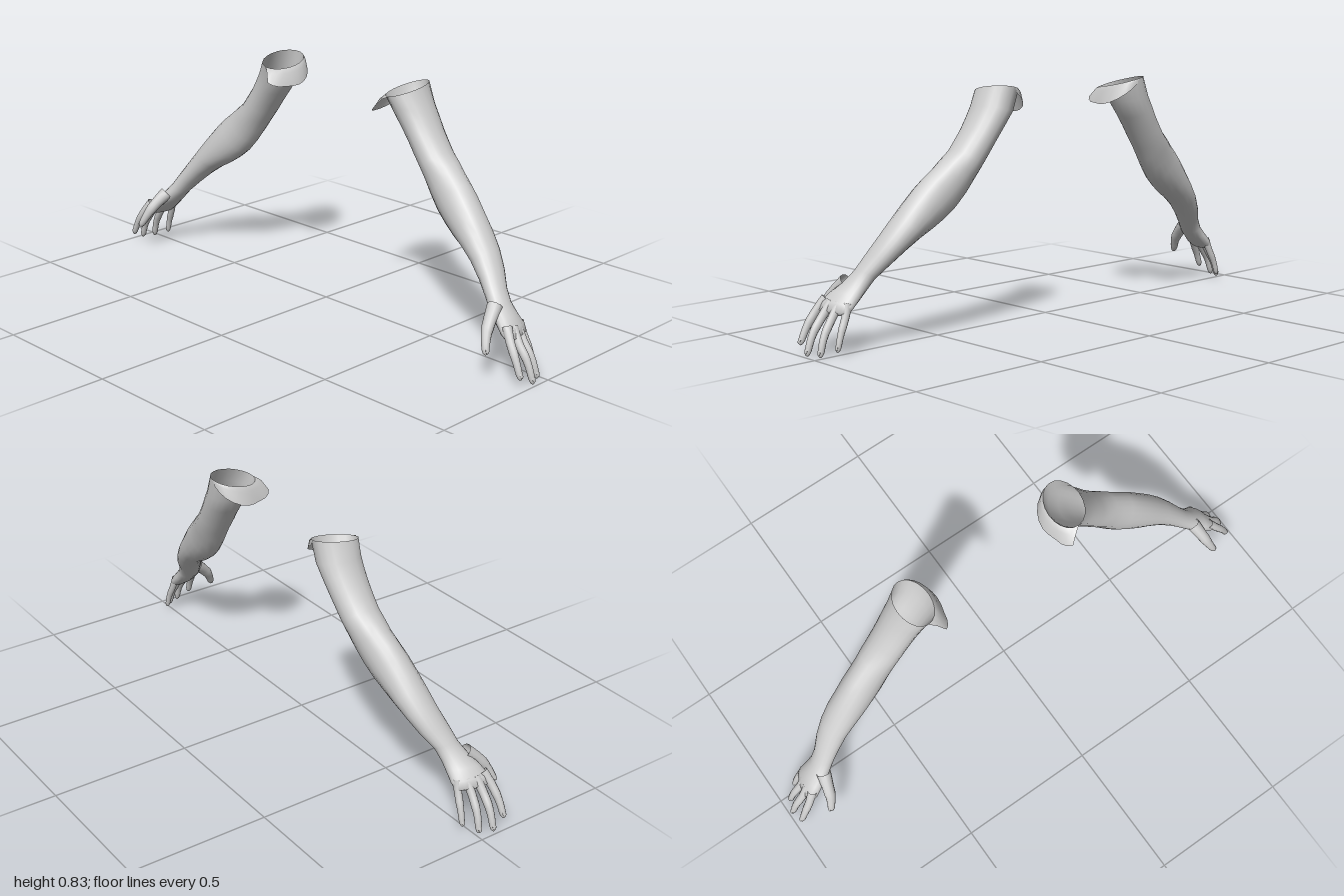
import * as THREE from 'three';

const V = (x, y, z) => new THREE.Vector3(x, y, z);
const SIDES = 20;
const skin = new THREE.MeshStandardMaterial({ color: 0xcccccc, side: THREE.DoubleSide });

// Skin a surface over rows of points; closed rows wrap around.
function loft(rows, closed = true) {
  const n = rows[0].length;
  const index = [];
  for (let i = 0; i < rows.length - 1; i++) {
    for (let j = 0; j < (closed ? n : n - 1); j++) {
      const k = (j + 1) % n;
      const a = i * n + j, b = i * n + k, c = a + n, d = b + n;
      index.push(a, b, c, b, d, c);
    }
  }
  const geo = new THREE.BufferGeometry().setFromPoints(rows.flat());
  geo.setIndex(index);
  geo.computeVertexNormals();
  return geo;
}

function mirrored(source) {
  const geo = source.clone().scale(-1, 1, 1);
  const ix = geo.index.array;
  for (let i = 0; i < ix.length; i += 3) [ix[i], ix[i + 1]] = [ix[i + 1], ix[i]];
  geo.computeVertexNormals();
  return geo;
}

// Cross-sections: outer x, y, inner x, y, front z, back z
const SECTIONS = [
  [.366, .83, .243, .805, .003, -.168],
  [.395, .77, .266, .745, -.008, -.166],
  [.415, .735, .312, .685, -.012, -.162],
  [.436, .70, .347, .638, -.013, -.157],
  [.463, .665, .37, .602, -.013, -.152],
  [.49, .63, .398, .564, -.012, -.148],
  [.525, .603, .425, .522, -.01, -.14],
  [.553, .578, .453, .48, -.007, -.132],
  [.59, .548, .49, .436, .001, -.124],
  [.623, .515, .532, .402, .01, -.118],
  [.665, .467, .575, .374, .018, -.108],
  [.703, .42, .62, .35, .025, -.10],
  [.745, .367, .67, .315, .032, -.084],
  [.783, .313, .722, .27, .045, -.06],
  [.817, .262, .762, .228, .057, -.03],
  [.847, .225, .792, .195, .075, -.021],
  [.88, .197, .822, .17, .092, -.021],
  [.908, .168, .855, .143, .105, -.024],
  [.918, .142, .88, .126, .1, -.021],
  [.906, .128, .894, .123, .06, .02],
];

function armRows() {
  return SECTIONS.map(([xo, yo, xi, yi, zf, zb], i) => {
    const skew = i > 15 ? .22 : i === 15 ? .1 : 0;   // knuckles angle outward on the index side
    const slope = i === 0 ? -.17 : 0;                // shoulder rim rises at the back
    return Array.from({ length: SIDES }, (_, j) => {
      const t = j / SIDES * Math.PI * 2;
      const c = Math.cos(t) / 2, dz = Math.sin(t) * (zf - zb) / 2;
      return V((xo + xi) / 2 + c * (xo - xi) + skew * dz,
        (yo + yi) / 2 + c * (yo - yi) + slope * dz, (zf + zb) / 2 + dz);
    });
  });
}

// Rounded, tapering finger along a bent path
function finger(points, r0, r1) {
  const curve = new THREE.CatmullRomCurve3(points);
  const steps = [0, .15, .3, .42, .5, .58, .7, .8, .9, .96, .99, 1];
  const rows = steps.map((s) => {
    const p = curve.getPointAt(s), t = curve.getTangentAt(s);
    const u = V(.86, .5, 0);
    u.addScaledVector(t, -u.dot(t)).normalize();
    const v = t.clone().cross(u);
    const joint = 1 + .08 * Math.exp(-(((s - .5) / .08) ** 2));
    const tip = s > .88 ? Math.sqrt(Math.max(.0004, 1 - ((s - .88) / .12) ** 2)) : 1;
    const r = (r0 + (r1 - r0) * s) * joint * tip;
    return Array.from({ length: 12 }, (_, j) => {
      const a = j / 12 * Math.PI * 2;
      return p.clone().addScaledVector(u, r * Math.cos(a)).addScaledVector(v, r * Math.sin(a));
    });
  });
  return loft(rows);
}

// Thin nail resting on the outer face near the tip
function nail(points, r) {
  const curve = new THREE.CatmullRomCurve3(points);
  const t = curve.getTangentAt(.9), u = V(.86, .5, 0);
  u.addScaledVector(t, -u.dot(t)).normalize();
  const p = curve.getPointAt(.91).addScaledVector(u, r * .8);
  const basis = new THREE.Matrix4().makeBasis(u, t, u.clone().cross(t)).setPosition(p);
  return new THREE.SphereGeometry(1, 10, 6).scale(r * .25, r * 1.1, r * .7).applyMatrix4(basis);
}

// Ragged lip folding away from the inner half of the shoulder rim
function lip(rim) {
  const arc = rim.slice(5, 16);
  const rows = [0, .5, 1].map((s) => arc.map((p, j) => {
    const f = j / (arc.length - 1), mid = Math.sin(f * Math.PI);
    const front = Math.max(0, 1 - f * 3);
    return V(p.x - s * (.012 + .016 * mid + .035 * front),
      p.y - s * s * (.02 + .045 * mid + .025 * front),
      p.z + s * (.035 * front + .012 * mid * (1 - f)));
  }));
  return loft(rows, false);
}

const DIGITS = {
  thumb: { path: [V(.825, .222, .062), V(.838, .188, .102), V(.85, .153, .132), V(.872, .096, .16)], r0: .026, r1: .0115 },
  indexFinger: { path: [V(.893, .175, .082), V(.918, .138, .097), V(.952, .085, .107), V(.977, .028, .111)], r0: .0165, r1: .0105 },
  middleFinger: { path: [V(.893, .168, .052), V(.922, .125, .06), V(.962, .07, .061), V(.987, .002, .06)], r0: .0165, r1: .0105 },
  ringFinger: { path: [V(.885, .165, .022), V(.913, .12, .024), V(.948, .065, .02), V(.968, .002, .015)], r0: .0155, r1: .0105 },
  littleFinger: { path: [V(.872, .165, -.006), V(.886, .125, -.011), V(.91, .072, -.017), V(.926, .018, -.02)], r0: .0145, r1: .009 },
};

export function createModel() {
  const model = new THREE.Group();
  const rows = armRows();
  const parts = { arm: loft(rows), shoulderLip: lip(rows[0]) };
  for (const [name, { path, r0, r1 }] of Object.entries(DIGITS)) {
    parts[name] = finger(path, r0, r1);
    parts[name + 'Nail'] = nail(path, r1);
  }
  for (const side of ['left', 'right']) {
    const limb = new THREE.Group();
    limb.name = side + 'Arm';
    for (const [name, geo] of Object.entries(parts)) {
      const mesh = new THREE.Mesh(side === 'left' ? geo : mirrored(geo), skin);
      mesh.name = name;
      limb.add(mesh);
    }
    model.add(limb);
  }
  return model;
}
